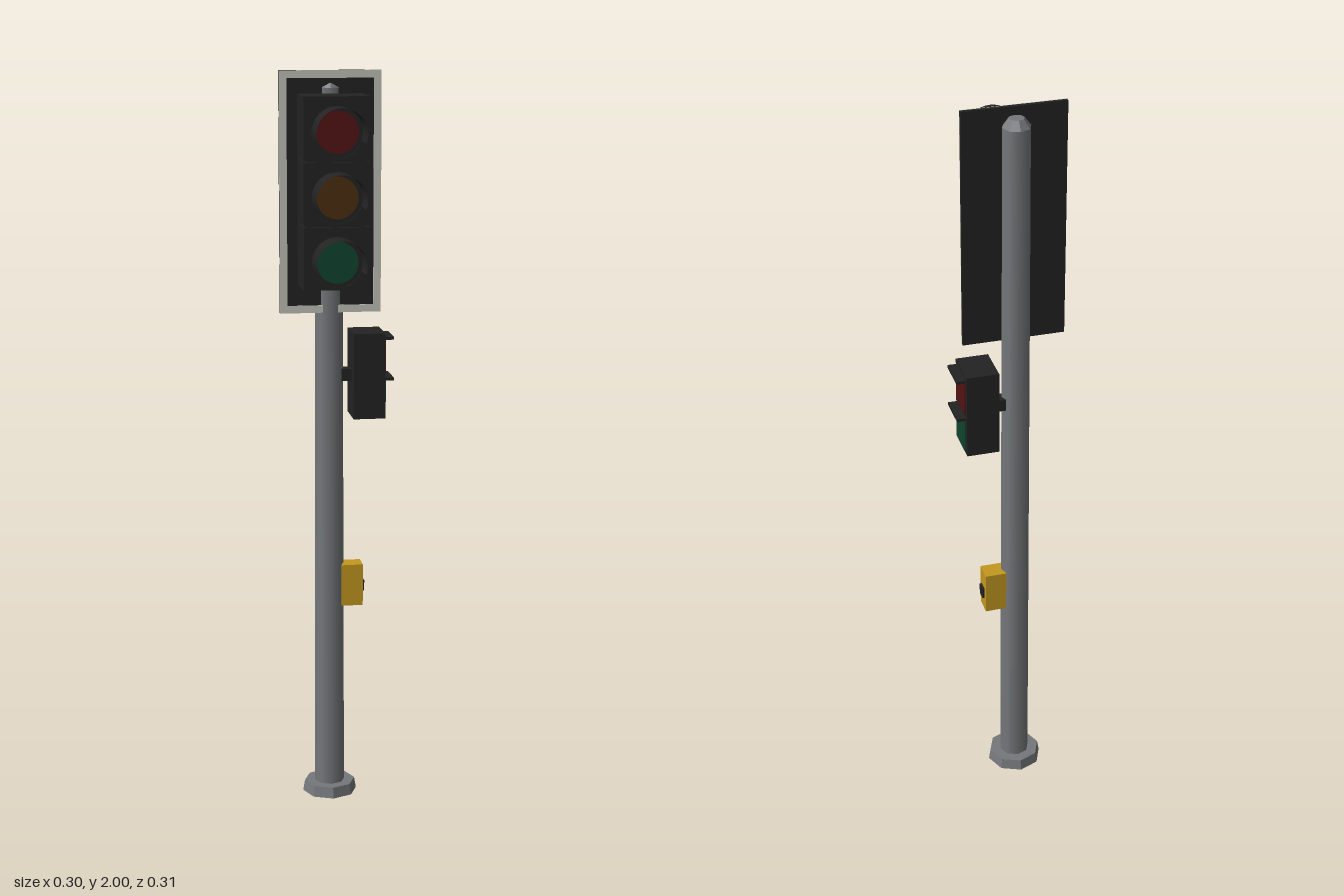
import * as THREE from 'three';

const material = (name, color, extra = {}) => {
  const m = new THREE.MeshStandardMaterial({ color, ...extra });
  m.name = name;
  return m;
};

export function createModel() {
  const group = new THREE.Group();
  group.name = 'trafficLight';

  const steel = material('steel grey', 0x75787b, { flatShading: false });
  const black = material('housing black', 0x232323, { side: THREE.DoubleSide });
  const white = material('border white', 0xc4c4be);
  const yellow = material('button box yellow', 0xc4981f);
  const red = material('red lens', 0x541214);
  const amber = material('amber lens', 0x4c2f10);
  const green = material('green lens', 0x10442e);

  const PX = -0.018, PZ = -0.082; // pole axis

  const add = (name, geometry, mat, x = 0, y = 0, z = 0) => {
    const mesh = new THREE.Mesh(geometry, mat);
    mesh.name = name;
    mesh.position.set(x, y, z);
    group.add(mesh);
    return mesh;
  };
  // Box given by its lower and upper limits on each axis
  const box = (name, mat, x0, x1, y0, y1, z0, z1) =>
    add(name, new THREE.BoxGeometry(x1 - x0, y1 - y0, z1 - z0), mat,
      (x0 + x1) / 2, (y0 + y1) / 2, (z0 + z1) / 2);

  // Eight-sided foot, pole and cap
  const faceted = (g) => { const f = g.toNonIndexed(); f.computeVertexNormals(); return f; };
  add('base', faceted(new THREE.CylinderGeometry(0.07, 0.075, 0.03, 8)), steel, PX, 0.015, PZ);
  add('pole', new THREE.CylinderGeometry(0.036, 0.041, 1.93, 8), steel, PX, 0.99, PZ);
  add('poleCap', faceted(new THREE.CylinderGeometry(0.02, 0.037, 0.022, 8)), steel, PX, 1.966, PZ);

  // Backing board with a pale border on its front
  box('backboard', black, -0.153, 0.117, 1.365, 2, -0.065, -0.055);
  const border = new THREE.Shape();
  const rect = (path, x0, y0, x1, y1) =>
    path.moveTo(x0, y0).lineTo(x1, y0).lineTo(x1, y1).lineTo(x0, y1).closePath();
  rect(border, -0.153, 1.365, 0.117, 2);
  const opening = new THREE.Path();
  rect(opening, -0.133, 1.385, 0.097, 1.98);
  border.holes.push(opening);
  add('backboardBorder', new THREE.ExtrudeGeometry(border, { depth: 0.002, bevelEnabled: false }),
    white, 0, 0, -0.055);

  // Three signal sections, each with a ring, lens and open hood
  box('signalCore', black, -0.098, 0.062, 1.445, 1.94, -0.055, 0.06);
  const hood = new THREE.CylinderGeometry(0.066, 0.066, 0.087, 20, 1, true, Math.PI - 1.91, 3.82);
  const ring = new THREE.CylinderGeometry(0.066, 0.066, 0.01, 24, 1, true);
  const lens = new THREE.CylinderGeometry(0.055, 0.055, 0.006, 24);
  const rim = new THREE.RingGeometry(0.055, 0.066, 24);
  [hood, ring, lens].forEach((g) => g.rotateX(Math.PI / 2));
  [[red, 'red'], [amber, 'amber'], [green, 'green']].forEach(([mat, label], i) => {
    const y = 1.85 - i * 0.167;
    box(label + 'Housing', black, -0.105, 0.068, y - 0.073, y + 0.09, -0.055, 0.068);
    add(label + 'Ring', ring, black, PX, y, 0.073);
    add(label + 'Rim', rim, black, PX, y, 0.0735);
    add(label + 'Lens', lens, mat, PX, y, 0.072);
    add(label + 'Hood', hood, black, PX, y, 0.1125);
  });

  // Pedestrian signal facing the left side
  box('pedestrianBracket', black, 0, 0.045, 1.175, 1.208, -0.1, -0.066);
  box('pedestrianHousing', black, 0.041, 0.127, 1.077, 1.309, -0.137, -0.029);
  [[red, 'Red', 1.243], [green, 'Green', 1.132]].forEach(([mat, label, y]) => {
    box('pedestrian' + label + 'Lens', mat, 0.125, 0.13, y - 0.046, y + 0.046, -0.126, -0.04);
    box('pedestrian' + label + 'Hood', black, 0.125, 0.151, y + 0.047, y + 0.055, -0.128, -0.037);
  });

  // Push-button box
  box('buttonBox', yellow, 0.013, 0.071, 0.547, 0.663, -0.107, -0.054);
  box('button', black, 0.07, 0.077, 0.584, 0.614, -0.094, -0.066);

  return group;
}
